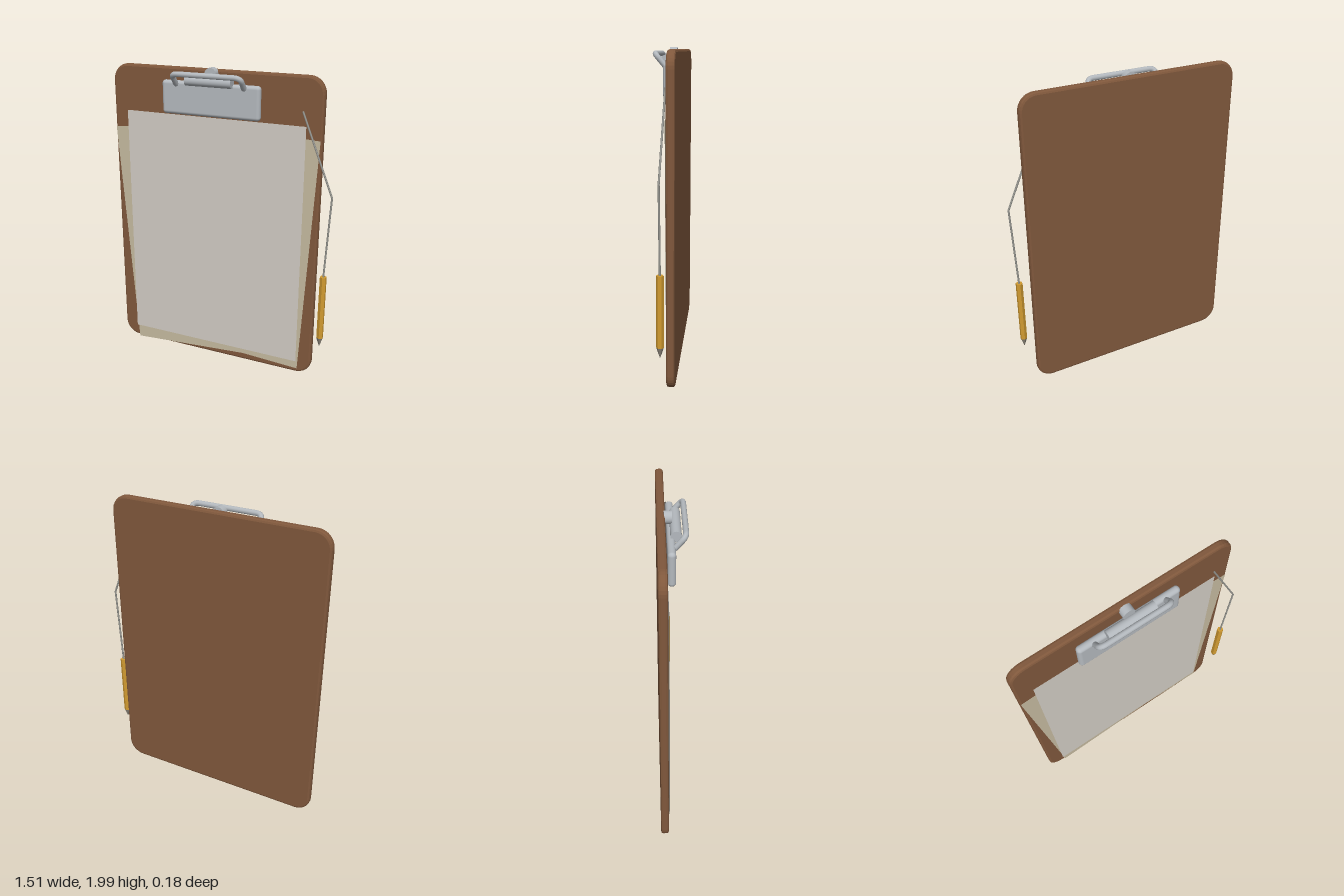
import * as THREE from 'three';
import { RoundedBoxGeometry } from 'three/addons/geometries/RoundedBoxGeometry.js';

const paint = (color, extra = {}) => new THREE.MeshStandardMaterial({ color, ...extra });
const CX = -0.047; // centre line of board and clip

export function createModel() {
  const group = new THREE.Group();
  const wood = paint(0x80583c, { flatShading: true });
  const steel = paint(0xb4b9be);
  const cordGrey = paint(0x9a9a94);
  const sheet = paint(0xd2ccc4, { side: THREE.DoubleSide });
  const oldSheet = paint(0xc5baa0, { side: THREE.DoubleSide });
  const yellow = paint(0xd09a30, { flatShading: true });
  const lead = paint(0x8c857a, { flatShading: true });

  const add = (name, geometry, material, x = 0, y = 0, z = 0) => {
    const mesh = new THREE.Mesh(geometry, material);
    mesh.name = name;
    mesh.position.set(x, y, z);
    group.add(mesh);
    return mesh;
  };

  // Board: rounded rectangle with bevelled edges
  const bevel = 0.014, w = 0.7075 - bevel, h = 0.985 - bevel, r = 0.09;
  const outline = new THREE.Shape();
  outline.absarc(w - r, h - r, r, 0, Math.PI / 2);
  outline.absarc(-w + r, h - r, r, Math.PI / 2, Math.PI);
  outline.absarc(-w + r, -h + r, r, Math.PI, Math.PI * 1.5);
  outline.absarc(w - r, -h + r, r, Math.PI * 1.5, Math.PI * 2);
  const boardGeo = new THREE.ExtrudeGeometry(outline, {
    depth: 0.05 - 2 * bevel, bevelSize: bevel, bevelThickness: bevel, bevelSegments: 2, curveSegments: 4,
  });
  add('board', boardGeo, wood, CX, 1.0, -0.09 + bevel);

  // Paper: two skewed sheets beneath a straight one
  const sheets = [
    ['lowerSheet', 1.215, 1.57, -0.09, 0.832, -0.0375, 0.07, oldSheet],
    ['middleSheet', 1.215, 1.567, 0.003, 0.859, -0.035, -0.051, oldSheet],
    ['topSheet', 1.215, 1.59, -0.0475, 0.895, -0.031, 0, sheet],
  ];
  for (const [name, sw, sh, x, y, z, angle, mat] of sheets) {
    add(name, new THREE.PlaneGeometry(sw, sh), mat, x, y, z).rotation.z = angle;
  }

  // Clip: pressing plate, hinge barrel and hanging stud
  add('clipPlate', new RoundedBoxGeometry(0.655, 0.21, 0.046, 4, 0.022), steel, CX, 1.805, -0.01);
  add('hingeBarrel', new THREE.CylinderGeometry(0.032, 0.032, 0.305, 20), steel, CX, 1.918, 0.018)
    .rotation.z = Math.PI / 2;
  add('stud', new THREE.CylinderGeometry(0.038, 0.038, 0.045, 20), steel, CX, 1.961, -0.024)
    .rotation.x = Math.PI / 2;

  // Bent wire lever, leaning forward
  const lever = new THREE.CurvePath();
  const at = (x, t) => new THREE.Vector3(CX + x, 1.892 + t * 0.068, 0.012 + t * 0.058);
  lever.add(new THREE.LineCurve3(at(-0.226, 0), at(-0.226, 0.6)));
  lever.add(new THREE.QuadraticBezierCurve3(at(-0.226, 0.6), at(-0.226, 1), at(-0.185, 1)));
  lever.add(new THREE.LineCurve3(at(-0.185, 1), at(0.185, 1)));
  lever.add(new THREE.QuadraticBezierCurve3(at(0.185, 1), at(0.226, 1), at(0.226, 0.6)));
  lever.add(new THREE.LineCurve3(at(0.226, 0.6), at(0.226, 0)));
  add('lever', new THREE.TubeGeometry(lever, 80, 0.017, 10), steel);
  for (const side of [-1, 1]) {
    add('leverEnd', new THREE.SphereGeometry(0.017, 10, 8), steel, CX + side * 0.226, 1.892, 0.012);
  }

  // Cord: two straight runs with a kink
  const knots = [[0.537, 1.78, -0.028], [0.745, 1.28, -0.012], [0.72, 0.755, -0.014]]
    .map((p) => new THREE.Vector3(...p));
  for (let i = 0; i < 2; i++) {
    const run = new THREE.LineCurve3(knots[i], knots[i + 1]);
    add('cord', new THREE.TubeGeometry(run, 1, 0.006, 6), cordGrey);
  }
  add('cordKink', new THREE.SphereGeometry(0.006, 8, 6), cordGrey, ...knots[1].toArray());

  // Hexagonal pencil with a sharpened tip
  add('pencil', new THREE.CylinderGeometry(0.022, 0.022, 0.43, 6), yellow, 0.72, 0.545, -0.014);
  add('pencilTip', new THREE.CylinderGeometry(0.022, 0.002, 0.06, 6), lead, 0.72, 0.3, -0.014);

  return group;
}
